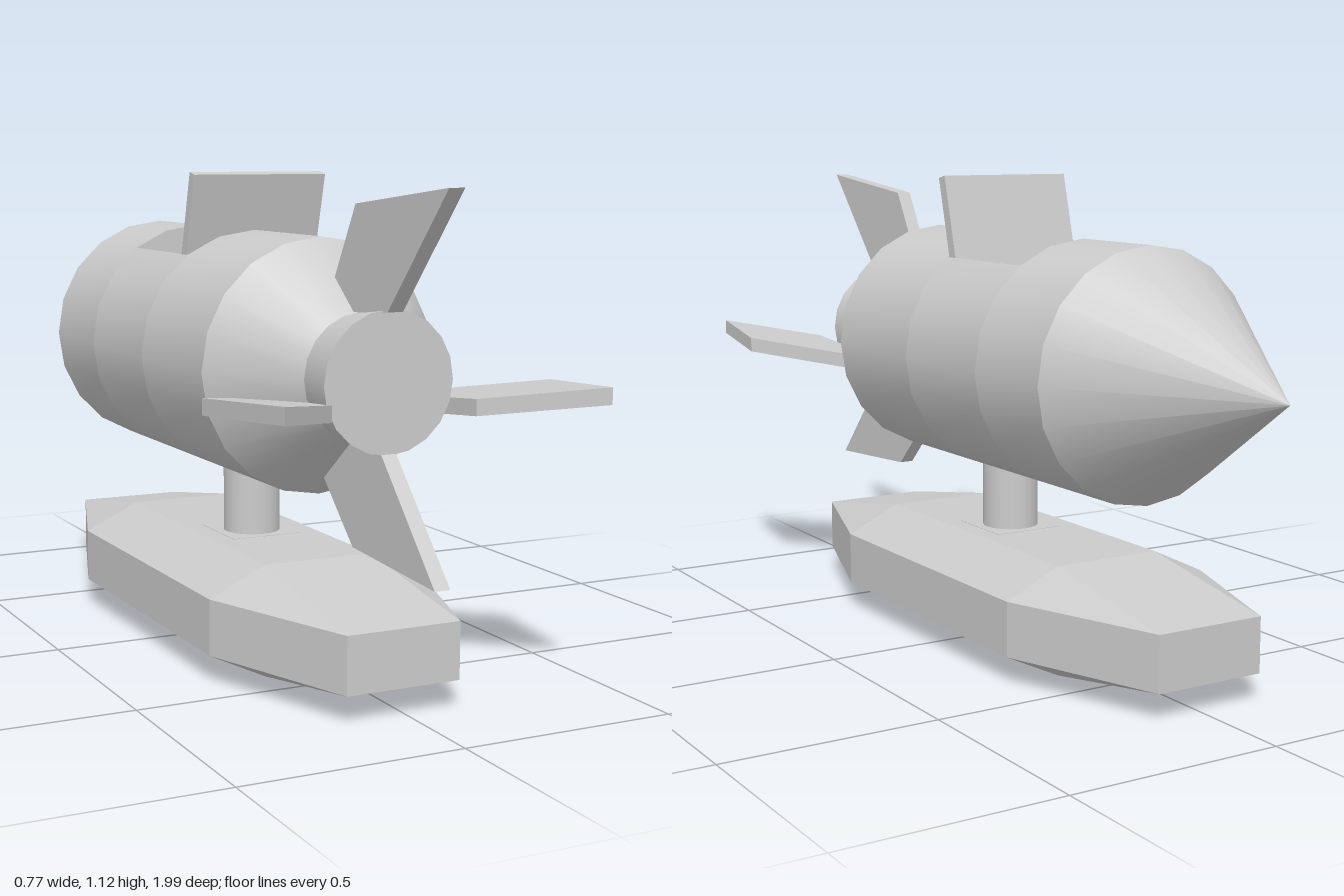
import * as THREE from 'three';
import { toCreasedNormals } from 'three/addons/utils/BufferGeometryUtils.js';
import { ConvexGeometry } from 'three/addons/geometries/ConvexGeometry.js';

const CX = -0.015, CY = 0.695, R = 0.288, SIDES = 20;

export function createModel() {
  const model = new THREE.Group();
  const material = new THREE.MeshStandardMaterial({ color: 0xcccccc });

  function add(name, geometry, parent = model) {
    const mesh = new THREE.Mesh(geometry, material);
    mesh.name = name;
    parent.add(mesh);
    return mesh;
  }

  // Flat plate from an outline, centred on its thickness
  function plate(points, thickness) {
    const shape = new THREE.Shape(points.map(([a, b]) => new THREE.Vector2(a, b)));
    return new THREE.ExtrudeGeometry(shape, { depth: thickness, bevelEnabled: false })
      .translate(0, 0, -thickness / 2);
  }

  // Upright plate from a (z, y) outline
  const uprightPlate = (points, thickness, x = CX) =>
    plate(points, thickness).rotateY(-Math.PI / 2).translate(x, 0, 0);

  // Outline of the hull ring; skipping steps at the top leaves an opening
  function ring(skip) {
    const points = [];
    const last = skip ? SIDES - skip : SIDES - 1;
    for (let i = skip; i <= last; i++) {
      const a = (i / SIDES) * Math.PI * 2;
      points.push([CX + R * Math.sin(a), CY + R * Math.cos(a)]);
    }
    return points;
  }

  // Straight hull section between two z positions
  function hullSection(points, z0, z1) {
    const g = plate(points, z1 - z0).translate(0, 0, (z0 + z1) / 2);
    return toCreasedNormals(g, 0.5);
  }

  // Tapered round section along z
  function taper(z0, r0, z1, r1) {
    const g = new THREE.CylinderGeometry(r1, r0, z1 - z0, SIDES);
    return g.rotateX(Math.PI / 2).translate(CX, CY, (z0 + z1) / 2);
  }

  // Hull with a cockpit well cut into the top
  const hull = new THREE.Group();
  hull.name = 'hull';
  model.add(hull);
  const wellFront = -0.27, wellRear = 0.053, wellFloor = 0.8;
  const open = ring(2);
  const wellX = open[0][0] - CX;
  const wellSection = [...open, [CX - wellX, wellFloor], [CX + wellX, wellFloor]];
  add('hullNoseSection', hullSection(ring(0), -0.53, wellFront), hull);
  add('hullCockpitSection', hullSection(wellSection, wellFront, wellRear), hull);
  add('hullTailSection', hullSection(ring(0), wellRear, 0.4), hull);

  add('noseCone', taper(-1, 0, -0.53, R));
  add('tailTaper', taper(0.4, R, 0.59, 0.137));
  add('nozzle', taper(0.59, 0.137, 0.71, 0.153));

  // Open hatch leaning back out of the well
  add('hatch', uprightPlate(
    [[-0.016, 0.8], [0.068, 1.12], [0.095, 1.114], [0.012, 0.795]], 0.34));

  // Upper and lower tail fins
  add('upperFin', uprightPlate(
    [[0.96, 1.1], [0.59, 1.06], [0.5, 0.9], [0.5, 0.83], [0.59, 0.832], [0.73, 0.843]], 0.036));
  add('lowerFin', uprightPlate(
    [[0.93, 0.305], [0.59, 0.325], [0.45, 0.46], [0.5, 0.56], [0.71, 0.545]], 0.036));

  // Side fins, tilted up towards the rear and the tips
  function sideFin(name, points) {
    const g = plate(points, 0.036).rotateX(Math.PI / 2);
    const p = g.attributes.position;
    for (let i = 0; i < p.count; i++) {
      const lift = 0.1 * (Math.abs(p.getX(i)) - 0.36) + 0.085 * (p.getZ(i) - 0.97);
      p.setY(i, p.getY(i) + 0.682 + lift);
    }
    g.computeVertexNormals();
    add(name, g);
  }
  sideFin('leftFin', [[0.385, 0.71], [0.34, 0.99], [0.14, 0.8], [0.13, 0.58], [0.19, 0.51]]);
  sideFin('rightFin', [[-0.385, 0.59], [-0.385, 0.97], [-0.16, 0.73], [-0.14, 0.57], [-0.26, 0.48]]);

  // Support post with a thin foot plate
  add('post', new THREE.CylinderGeometry(0.068, 0.068, 0.25, 24).translate(CX, 0.355, 0.045));
  add('footPlate', new THREE.BoxGeometry(0.18, 0.01, 0.18).translate(CX, 0.252, 0.045));

  // Base: a block with every edge chamfered to half its size
  const half = [0.27, 0.128, 0.775], corners = [];
  for (let axis = 0; axis < 3; axis++)
    for (const sx of [-1, 1]) for (const sy of [-1, 1]) for (const sz of [-1, 1]) {
      const s = [sx, sy, sz].map((v, i) => v * half[i] * (i === axis ? 1 : 0.5));
      corners.push(new THREE.Vector3(CX + s[0], half[1] + s[1], 0.01 + s[2]));
    }
  add('base', new ConvexGeometry(corners));

  return model;
}
